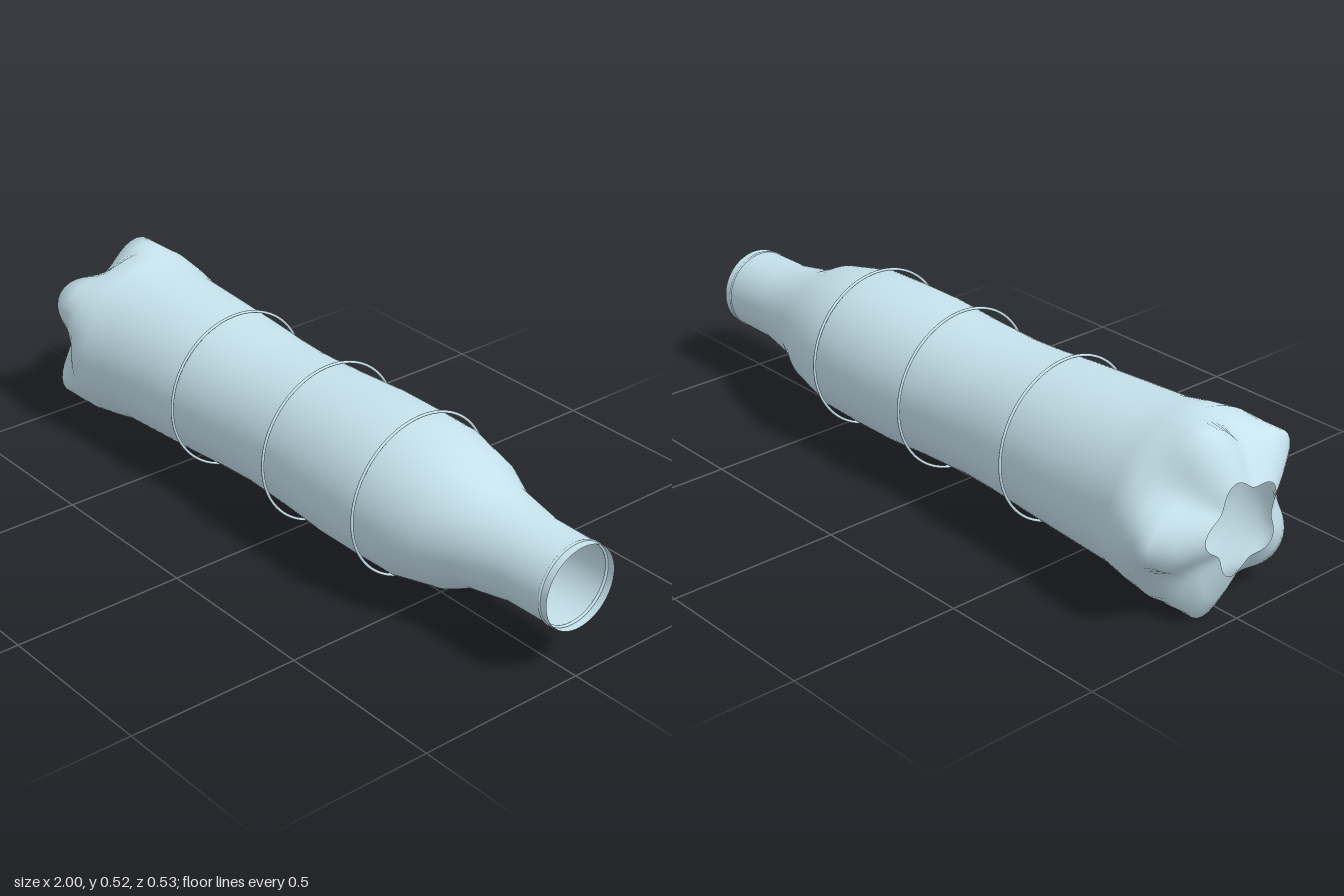
import * as THREE from 'three';
import { mergeVertices } from 'three/addons/utils/BufferGeometryUtils.js';

const material = new THREE.MeshStandardMaterial({ color: 0xc6e2ec, side: THREE.DoubleSide });

// Bottle wall: position along the axis, mean radius, depth of the five base lobes
const profile = [
  [-1, 0.117, 0.016], [-0.97, 0.176, 0.032], [-0.94, 0.23, 0.04],
  [-0.89, 0.246, 0.022], [-0.84, 0.26, 0.004], [-0.78, 0.25, 0], [-0.7, 0.235, 0],
  [-0.54, 0.227, 0], [-0.37, 0.218, 0], [-0.24, 0.209, 0], [-0.13, 0.205, 0],
  [0.04, 0.211, 0], [0.2, 0.22, 0], [0.33, 0.22, 0], [0.46, 0.217, 0],
  [0.6, 0.186, 0], [0.69, 0.144, 0], [0.83, 0.119, 0], [1, 0.117, 0],
];

function makeBody() {
  const points = profile.map(([x, r]) => new THREE.Vector2(r, x));
  let geometry = new THREE.LatheGeometry(points, 80);
  const pos = geometry.attributes.position;
  // Swell and pinch the base rows into five lobes
  for (let i = 0; i < pos.count; i++) {
    const [, r, depth] = profile[i % profile.length];
    const angle = Math.atan2(pos.getX(i), pos.getZ(i));
    const scale = (r - depth * Math.cos(5 * angle)) / r;
    pos.setX(i, pos.getX(i) * scale);
    pos.setZ(i, pos.getZ(i) * scale);
  }
  // Weld the seam so the shading stays smooth all round
  geometry.deleteAttribute('uv');
  geometry.deleteAttribute('normal');
  geometry = mergeVertices(geometry, 1e-5);
  geometry.computeVertexNormals();
  geometry.rotateZ(-Math.PI / 2);
  const mesh = new THREE.Mesh(geometry, material);
  mesh.name = 'bottleBody';
  return mesh;
}

function makeRing(name, x, radius, tube) {
  const geometry = new THREE.TorusGeometry(radius, tube, 10, 80);
  geometry.rotateY(Math.PI / 2);
  const mesh = new THREE.Mesh(geometry, material);
  mesh.position.x = x;
  mesh.name = name;
  return mesh;
}

export function createModel() {
  const group = new THREE.Group();
  group.name = 'bottle';
  const bottle = new THREE.Group();
  bottle.name = 'lyingBottle';
  bottle.position.set(0, 0.265, 0.003);
  group.add(bottle);

  bottle.add(makeBody());

  // Loose hoops around the body
  [-0.37, 0.04, 0.41].forEach((x, i) => bottle.add(makeRing(`hoop${i + 1}`, x, 0.232, 0.004)));

  // Neck rings
  bottle.add(makeRing('neckRing', 0.81, 0.117, 0.004));
  bottle.add(makeRing('mouthRing', 0.975, 0.116, 0.004));
  return group;
}
